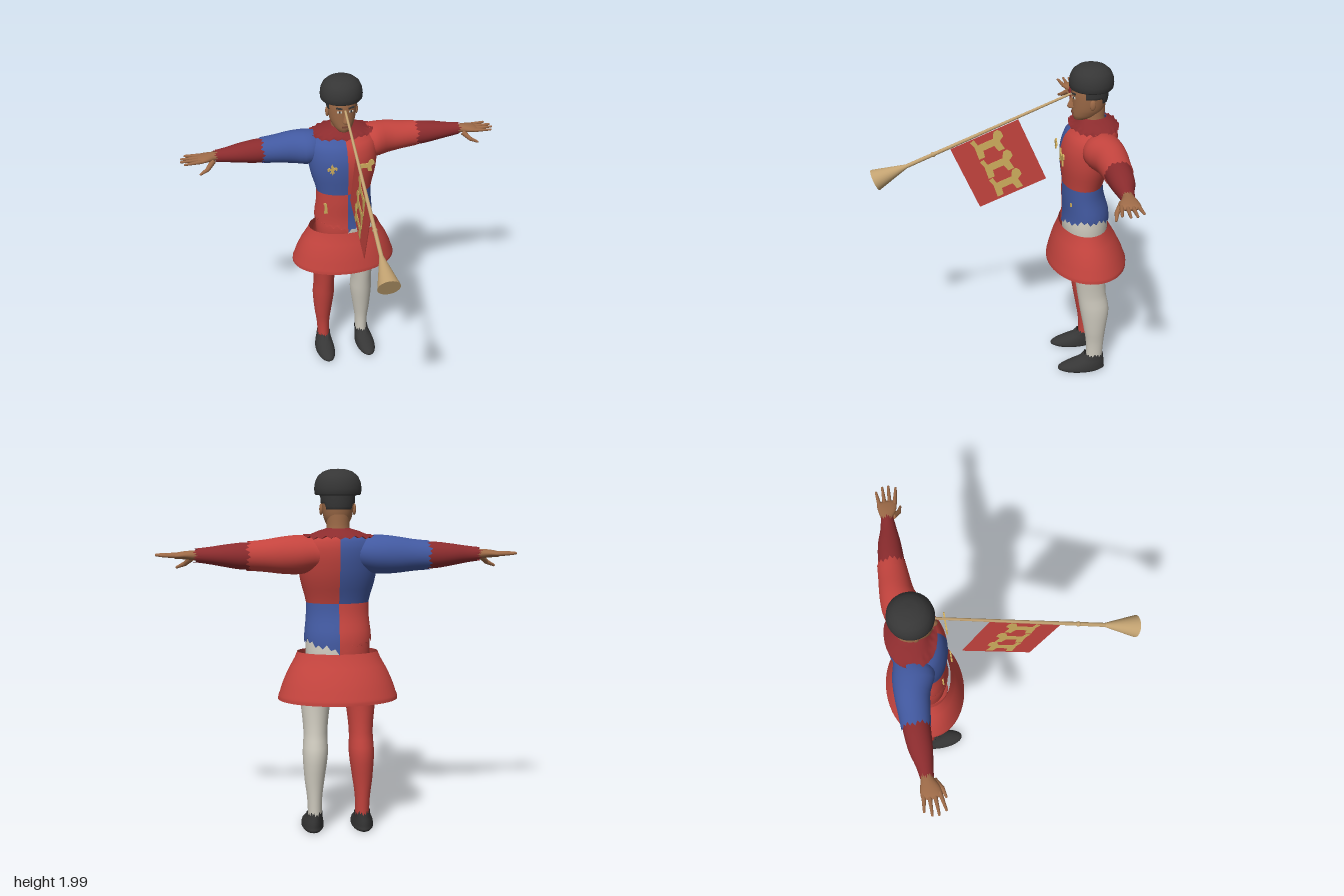
import * as THREE from 'three';
import { mergeVertices } from 'three/addons/utils/BufferGeometryUtils.js';

const paint = (name, color) => new THREE.MeshStandardMaterial({ name, color, side: THREE.DoubleSide });

// Catmull-Rom value between b and c
const spline = (a, b, c, d, t) =>
  b + 0.5 * t * (c - a + t * (2 * a - 5 * b + 4 * c - d + t * (3 * (b - c) + d - a)));

// Smoothly subdivide a short list of cross-sections
function refine(rows, n = 3) {
  const out = [], last = rows.length - 1;
  for (let i = 0; i < last; i++) {
    const a = rows[Math.max(i - 1, 0)], b = rows[i], c = rows[i + 1], d = rows[Math.min(i + 2, last)];
    for (let k = 0; k < n; k++) {
      const t = k / n;
      out.push(b.map((v, q) => (q === 0 ? v + (c[0] - v) * t : spline(a[q], v, c[q], d[q], t))));
    }
  }
  out.push(rows[last]);
  return out;
}

// Elliptical loft. Upright rows: [y, centreX, halfWidth, frontZ, backZ].
// Sideways rows (side = 1 or -1): [x, centreY, halfHeight, frontZ, backZ].
function loft(rows, { side = 0, from = 0, to = Math.PI * 2, seg = 36, clip = p => p } = {}) {
  const pos = [], index = [];
  refine(rows).forEach(([p, c, r, zf, zb], i) => {
    for (let j = 0; j <= seg; j++) {
      const t = from + (to - from) * j / seg;
      const sn = Math.sin(t) * r, z = (zf + zb) / 2 + (zf - zb) / 2 * Math.cos(t), q = clip(p, j, t);
      if (side) pos.push(side * q, c - side * sn, z);
      else pos.push(c + sn, q, z);
      if (i && j) {
        const d = i * (seg + 1) + j, b = d - seg - 1;
        index.push(b - 1, b, d, b - 1, d, d - 1);
      }
    }
  });
  const open = new THREE.BufferGeometry();
  open.setAttribute('position', new THREE.Float32BufferAttribute(pos, 3));
  open.setIndex(index);
  const g = mergeVertices(open, 1e-5);
  g.computeVertexNormals();
  return g;
}

// Ragged edge pattern
const zig = j => [0, 0.6, 0.15, 1, 0.35, 0.8][j % 6];

function polygon(points, size) {
  const shape = new THREE.Shape(points.map(([x, y]) => new THREE.Vector2(x * size, y * size)));
  const g = new THREE.ExtrudeGeometry(shape, { depth: 0.009, bevelEnabled: false });
  return g.translate(0, 0, -0.0045);
}

const lionPoints = [[-.5, .3], [-.44, .1], [-.48, -.32], [-.28, -.32], [-.24, -.1], [.12, -.1], [.18, -.32], [.38, -.32],
  [.34, -.02], [.5, .08], [.5, .24], [.42, .34], [.28, .32], [.18, .13], [-.32, .13], [-.36, .34]];
const lilyHalf = [[0, .5], [.12, .28], [.08, .06], [.24, .2], [.42, .14], [.44, -.06], [.3, -.1], [.26, .02], [.1, -.1],
  [.2, -.3], [.08, -.28], [0, -.48]];
const lilyPoints = [...lilyHalf, ...lilyHalf.slice(1, -1).reverse().map(([x, y]) => [-x, y])];

export function createModel() {
  const root = new THREE.Group();
  root.name = 'herald';
  const red = paint('red cloth', 0xc4443e), darkRed = paint('dark red cloth', 0x8c2c2e), blue = paint('blue cloth', 0x4259a0),
    white = paint('white hose', 0xd0ccc0), skin = paint('skin', 0x9e6b48), black = paint('black', 0x363636),
    brass = paint('brass', 0xc2a271), gold = paint('gold', 0xcfae5e), lip = paint('lip', 0x7c4836);
  const add = (name, geo, mat, parent = root, x = 0, y = 0, z = 0) => {
    const m = new THREE.Mesh(geo, mat);
    m.name = name;
    m.position.set(x, y, z);
    parent.add(m);
    return m;
  };
  // Tapered rod with a round tip between two points
  const rod = (name, a, b, ra, rb, mat) => {
    const p = new THREE.Vector3(...a), q = new THREE.Vector3(...b), d = q.clone().sub(p);
    const m = add(name, new THREE.CylinderGeometry(rb, ra, d.length(), 10), mat);
    m.position.copy(p).add(q).multiplyScalar(0.5);
    m.quaternion.setFromUnitVectors(new THREE.Vector3(0, 1, 0), d.normalize());
    add(name + 'Tip', new THREE.SphereGeometry(rb, 10, 8), mat, root, ...b);
  };

  // Quartered tunic over the hips
  const lower = [[1.0, 0, .182, -.36, -.645], [1.1, 0, .184, -.365, -.64], [1.2, 0, .174, -.36, -.61], [1.28, 0, .172, -.36, -.598]];
  const upper = [[1.28, 0, .172, -.36, -.598], [1.4, 0, .203, -.345, -.64], [1.5, 0, .215, -.345, -.665],
    [1.58, 0, .21, -.37, -.672], [1.635, 0, .17, -.42, -.66], [1.66, 0, .11, -.45, -.63], [1.675, 0, .06, -.46, -.61]];
  const hips = [[.86, 0, .16, -.39, -.63], [1.0, 0, .176, -.366, -.64], [1.12, 0, .174, -.372, -.632]];
  for (const s of [1, -1]) {
    const half = { from: s > 0 ? 0 : Math.PI, to: s > 0 ? Math.PI : Math.PI * 2, seg: 24 };
    const hem = (p, j, t) => Math.max(p, 1.005 + 0.055 * Math.abs(Math.sin(t)) + 0.035 * zig(j));
    add('tunicUpper', loft(upper, half), s > 0 ? red : blue);
    add('tunicLower', loft(lower, { ...half, clip: hem }), s > 0 ? blue : red);
    add('hips', loft(hips, half), s > 0 ? white : red);

    // Legs and shoes
    add('leg', loft([[.08, s * .132, .038, -.525, -.625], [.2, s * .133, .042, -.52, -.63], [.3, s * .133, .055, -.503, -.638],
      [.45, s * .128, .07, -.473, -.652], [.57, s * .126, .066, -.452, -.628], [.75, s * .122, .084, -.42, -.62],
      [.97, s * .098, .095, -.38, -.635]]), s > 0 ? white : red);
    add('shoe', loft([[.008, s * .14, 0, -.5, -.5], [.01, s * .14, .056, -.36, -.63], [.035, s * .14, .061, -.35, -.638],
      [.065, s * .138, .054, -.41, -.638], [.09, s * .135, .046, -.475, -.635], [.13, s * .132, .044, -.512, -.633]],
    { clip: (p, j) => Math.min(p, 0.1 + 0.03 * zig(j)) }), black);

    // Arms
    add('upperArm', loft([[.1, 1.55, .085, -.47, -.65], [.2, 1.545, .105, -.435, -.67], [.3, 1.543, .1, -.475, -.672],
      [.4, 1.541, .086, -.49, -.665], [.5, 1.54, .078, -.5, -.66]],
    { side: s, clip: (p, j) => Math.min(p, 0.47 + 0.03 * zig(j)) }), s > 0 ? red : blue);
    add('forearm', loft([[.44, 1.54, .074, -.503, -.655], [.53, 1.54, .071, -.505, -.65], [.62, 1.542, .058, -.51, -.637],
      [.7, 1.543, .045, -.52, -.613], [.78, 1.544, .036, -.528, -.6]],
    { side: s, clip: (p, j) => Math.min(p, 0.75 + 0.03 * zig(j)) }), darkRed);

    // Hands
    add('palm', loft([[.72, 1.544, .027, -.535, -.592], [.77, 1.544, .026, -.53, -.598], [.82, 1.545, .022, -.505, -.608],
      [.87, 1.542, .016, -.5, -.61], [.885, 1.54, .004, -.53, -.58]], { side: s, seg: 20 }), skin);
    [[-.51, -.49, .955], [-.538, -.53, .973], [-.566, -.566, .97], [-.595, -.605, .945]].forEach(([z0, z1, x]) =>
      rod('finger', [s * .855, 1.543, z0], [s * x, 1.546, z1], .013, .007, skin));
    rod('thumb', [s * .785, 1.53, -.53], [s * .825, 1.495, -.495], .018, .013, skin);
    rod('thumbEnd', [s * .825, 1.495, -.495], [s * .87, 1.475, -.482], .013, .007, skin);

    // Ears, eyes and brows
    add('ear', new THREE.SphereGeometry(1, 12, 10), skin, root, s * .09, 1.785, -.505).scale.set(.01, .032, .018);
    add('brow', new THREE.BoxGeometry(.038, .009, .008), black, root, s * .036, 1.838, -.406).rotation.set(0, s * .25, s * .12);
    add('eyeWhite', new THREE.BoxGeometry(.028, .009, .006), white, root, s * .035, 1.815, -.407).rotation.y = s * .25;
    add('iris', new THREE.BoxGeometry(.01, .011, .008), black, root, s * .034, 1.815, -.406).rotation.y = s * .25;
  }

  // Collar and skirt
  add('collar', loft([[1.615, 0, .2, -.388, -.676], [1.645, 0, .168, -.42, -.668], [1.67, 0, .11, -.445, -.635],
    [1.686, 0, .06, -.455, -.605]], { seg: 48, clip: (p, j) => Math.max(p, 1.63 + 0.02 * zig(j)) }), darkRed);
  add('skirt', loft([[.75, 0, .33, -.28, -.76], [.785, 0, .322, -.285, -.752], [.9, 0, .278, -.313, -.70],
    [1.01, 0, .222, -.35, -.64]], { seg: 48 }), red);

  // Neck, head, nose and mouth
  add('neck', loft([[1.63, 0, .075, -.45, -.61], [1.68, 0, .062, -.46, -.595], [1.76, 0, .062, -.46, -.595]]), skin);
  add('head', loft([[1.672, 0, .005, -.425, -.45], [1.676, 0, .035, -.418, -.5], [1.7, 0, .058, -.408, -.56],
    [1.74, 0, .076, -.406, -.588], [1.79, 0, .085, -.403, -.6], [1.84, 0, .089, -.4, -.606], [1.89, 0, .088, -.405, -.606]]), skin);
  add('nose', loft([[1.738, 0, .004, -.4, -.42], [1.745, 0, .018, -.38, -.43], [1.758, 0, .017, -.376, -.43],
    [1.79, 0, .01, -.388, -.42], [1.825, 0, .008, -.398, -.42]], { seg: 14 }), skin);
  add('mouth', new THREE.BoxGeometry(.042, .011, .008), lip, root, 0, 1.716, -.406);

  // Hair, cut higher over the ears, and round hat
  add('hair', loft([[1.755, 0, .078, -.42, -.597], [1.8, 0, .091, -.405, -.608], [1.88, 0, .095, -.4, -.612]], {
    from: 1.15, to: Math.PI * 2 - 1.15,
    clip: (p, j, t) => Math.max(p, Math.abs(t - Math.PI) > 0.9 ? 1.815 : 1.785),
  }), black);
  const hatProfile = [[0, 1.862], [.118, 1.86], [.125, 1.868], [.128, 1.895], [.123, 1.93], [.108, 1.962], [.08, 1.985],
    [.045, 1.997], [0, 2]];
  add('hat', new THREE.LatheGeometry(hatProfile.map(p => new THREE.Vector2(...p)), 40), black, root, 0, 0, -.51);

  // Chest badges, and lower badges half hidden in the cloth
  add('lilyBadge', polygon(lilyPoints, .07), gold, root, -.1, 1.478, -.335);
  add('lionBadge', polygon(lionPoints, .115), gold, root, .1, 1.48, -.335);
  add('hipBadge', polygon([...lionPoints.slice(0, 4), [-.24, .13], [-.36, .34]], .11), gold, root, -.09, 1.18, -.402);
  add('hipDot', new THREE.BoxGeometry(.012, .022, .009), gold, root, .12, 1.178, -.395);

  // Trumpet, with its own +z running from mouthpiece to bell
  const trumpet = new THREE.Group();
  trumpet.name = 'trumpet';
  trumpet.position.set(-.003, 1.825, -.395);
  trumpet.lookAt(-.045, 1.328, .733);
  root.add(trumpet);
  add('tube', new THREE.CylinderGeometry(.012, .007, 1.04, 14).rotateX(Math.PI / 2), brass, trumpet, 0, 0, .52);
  add('knob', new THREE.SphereGeometry(.015, 14, 10), brass, trumpet, 0, 0, .862);
  add('bell', new THREE.CylinderGeometry(.064, .012, .2, 32).rotateX(Math.PI / 2), brass, trumpet, 0, 0, 1.133);

  // Hanging banner with three lions showing on both faces
  add('banner', new THREE.BoxGeometry(.004, .415, .427), red, trumpet, 0, -.222, .545);
  for (const y of [-.085, -.222, -.352]) {
    add('bannerLion', polygon(lionPoints, .19), gold, trumpet, 0, y, .545).rotation.y = Math.PI / 2;
  }
  return root;
}
